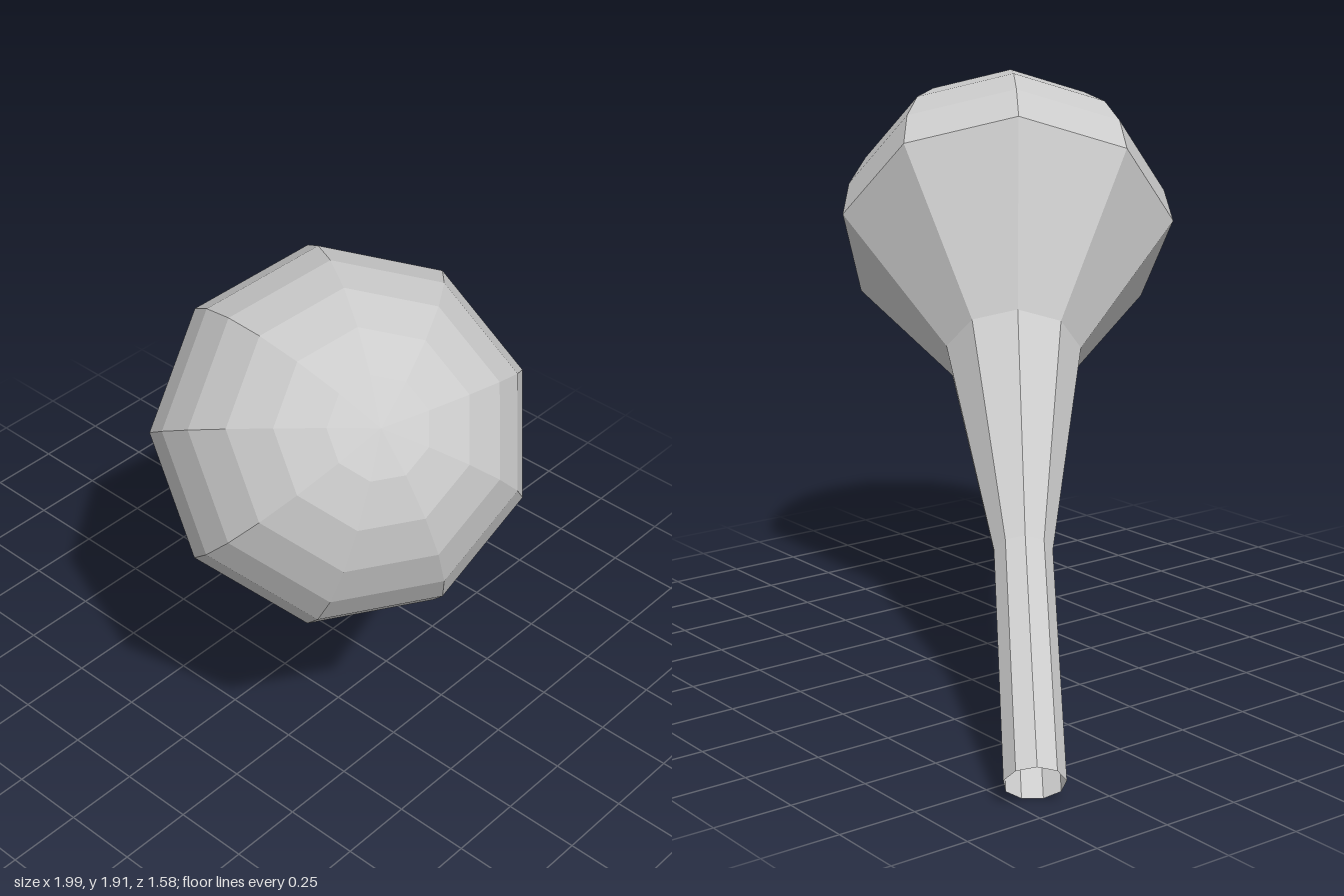
import * as THREE from 'three';

const SIDES = 9;

export function createModel() {
  const material = new THREE.MeshStandardMaterial({
    color: 0xcccccc, flatShading: true, side: THREE.DoubleSide,
  });

  // One faceted part turned around the local y axis, from [radius, height] pairs
  const turned = (name, profile) => {
    const points = profile.map(([r, h]) => new THREE.Vector2(r, h));
    const mesh = new THREE.Mesh(new THREE.LatheGeometry(points, SIDES), material);
    mesh.name = name;
    return mesh;
  };

  // Half-sphere head, in steps of 15 degrees from the widest ring to the tip
  const radius = 0.567;
  const dome = [];
  for (let i = 0; i <= 6; i++) {
    const a = (i * Math.PI) / 12;
    dome.push([i === 6 ? 0 : radius * Math.cos(a), radius * Math.sin(a)]);
  }

  const body = new THREE.Group();
  body.name = 'club';
  body.add(
    turned('handle', [[0.091, -2.1], [0.091, -1.31]]), // open at the end
    turned('neck', [[0.091, -1.31], [0.222, -0.522]]),
    turned('shoulder', [[0.222, -0.522], [radius, 0]]),
    turned('head', dome),
  );

  // Tilt the axis and roll it so that the facets line up
  const axis = new THREE.Vector3(0.652, 0.611, 0.45).normalize();
  const corner = new THREE.Vector3(-0.753, 0.582, 0.295);
  const side = new THREE.Vector3().crossVectors(axis, corner).normalize();
  corner.crossVectors(side, axis);
  body.quaternion.setFromRotationMatrix(new THREE.Matrix4().makeBasis(side, axis, corner));
  body.position.set(0.442, 1.353, 0.233);

  const model = new THREE.Group();
  model.add(body);
  return model;
}
